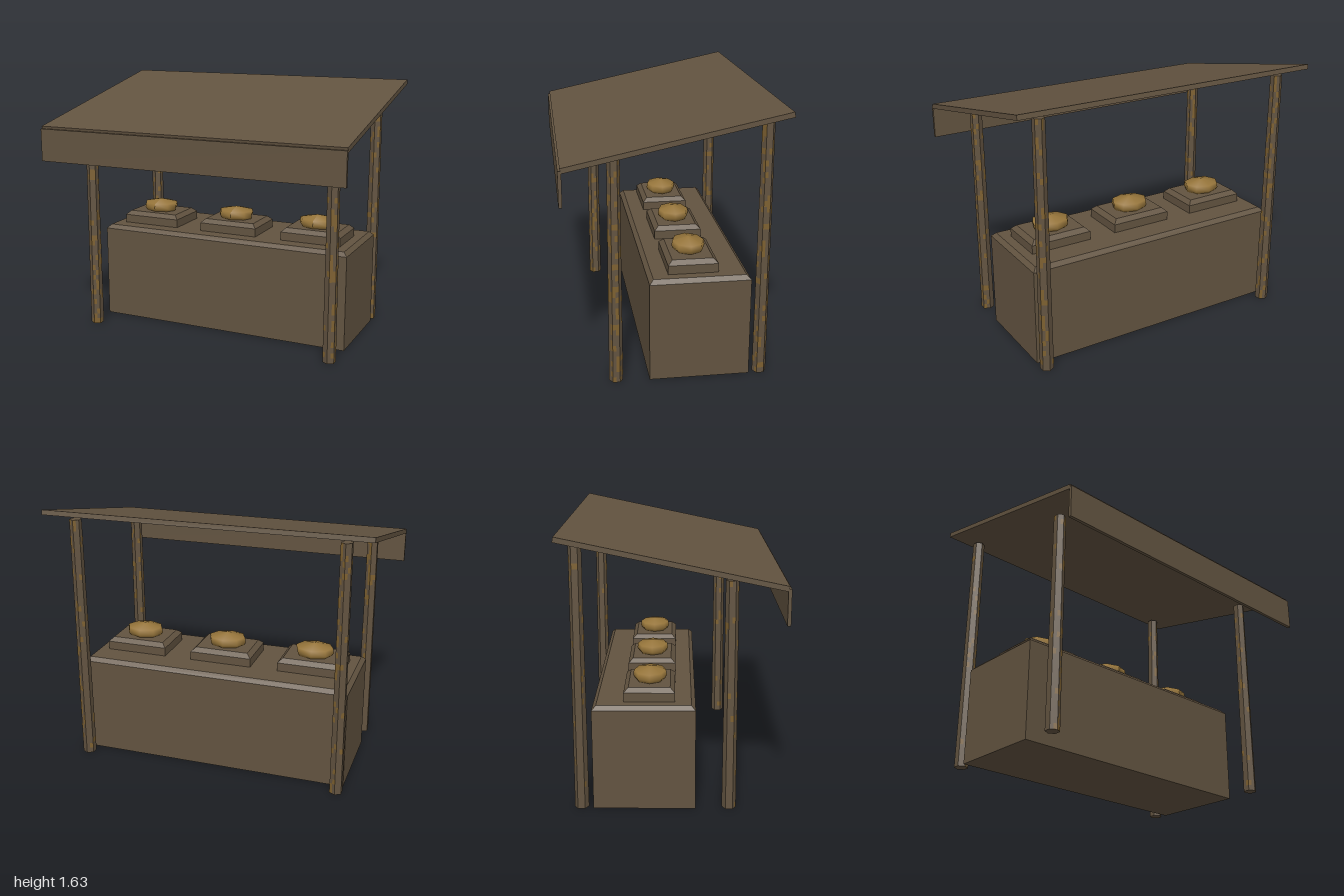
import * as THREE from 'three';

const wood = new THREE.MeshStandardMaterial({ color: 0x625340, flatShading: true });
wood.name = 'brown wood';
const patch = new THREE.MeshStandardMaterial({ color: 0x7d6030, flatShading: true });
patch.name = 'ochre patches';
const crust = new THREE.MeshStandardMaterial({ color: 0x95743a });
crust.name = 'golden crust';

function mesh(name, geometry, material, x, y, z) {
  const m = new THREE.Mesh(geometry, material);
  m.name = name;
  m.position.set(x, y, z);
  return m;
}

// Block standing on y = 0 with a chamfer round its top edge
function chamferedBlock(w, h, d, inset, drop) {
  const g = new THREE.BoxGeometry(w, h, d, 1, 2, 1);
  const p = g.attributes.position;
  for (let i = 0; i < p.count; i++) {
    const y = p.getY(i);
    if (y > h / 4) {
      p.setX(i, p.getX(i) - Math.sign(p.getX(i)) * inset);
      p.setZ(i, p.getZ(i) - Math.sign(p.getZ(i)) * inset);
    } else if (y > -h / 4) p.setY(i, h / 2 - drop);
  }
  g.translate(0, h / 2, 0);
  g.computeVertexNormals();
  return g;
}

// Tapered hexagonal post, each half face cut into cells that are wood or patch
function postGeometry(height, seed) {
  const rows = Math.round(height / 0.034), sides = 12;
  const g = new THREE.CylinderGeometry(0.037, 0.042, height, sides, rows);
  const p = g.attributes.position;
  for (let i = 0; i < p.count; i++) {
    const a = Math.atan2(p.getX(i), p.getZ(i));
    const odd = Math.abs(Math.round(a / (Math.PI / 6))) % 2;
    const k = odd ? Math.cos(Math.PI / 6) : 1;
    p.setX(i, p.getX(i) * k);
    p.setZ(i, p.getZ(i) * k);
  }
  g.translate(0, height / 2, 0);
  let s = seed;
  const random = () => (s = (s * 16807) % 2147483647) / 2147483647;
  g.clearGroups();
  let index = 0;
  for (let c = 0; c < sides; c++) {
    // The +x sides carry most of the patches
    const chance = Math.sin(((c + 0.5) / sides) * Math.PI * 2) > 0 ? 0.27 : 0.07;
    for (let r = 0; r < rows; r++, index += 6) g.addGroup(index, 6, random() < chance ? 1 : 0);
  }
  g.addGroup(index, g.index.count - index, 0);
  return g;
}

// Squat eight-sided loaf with one pinched end
function loafGeometry() {
  const profile = [[0, 0], [0.86, 0], [1, 0.022], [0.95, 0.055], [0, 0.08]];
  const g = new THREE.LatheGeometry(profile.map(([r, y]) => new THREE.Vector2(r, y)), 8);
  g.scale(0.125, 1, 0.101);
  const p = g.attributes.position;
  for (let i = 0; i < p.count; i++) {
    if (p.getX(i) > 0.11 && p.getY(i) < 0.05) p.setX(i, 0.107);
  }
  g.computeVertexNormals();
  return g;
}

export function createModel() {
  const stall = new THREE.Group();
  stall.name = 'marketStall';

  // Sloping roof and front valance
  const roof = mesh('roof', new THREE.BoxGeometry(2, 0.03, 1.286), wood, 0, 1.488, -0.007);
  roof.rotation.x = 0.207;
  stall.add(roof);
  stall.add(mesh('valance', new THREE.BoxGeometry(2, 0.205, 0.02), wood, 0, 1.2525, 0.627));

  // Four posts, the back pair taller
  [-1, 1].forEach((side, i) => {
    stall.add(mesh('frontPost', postGeometry(1.37, 1234567 + i * 765431), [wood, patch], side * 0.83, 0, 0.328));
    stall.add(mesh('backPost', postGeometry(1.57, 7654321 + i * 345677), [wood, patch], side * 0.83, 0, -0.54));
  });

  // Counter with three trays, a loaf on each
  stall.add(mesh('counter', chamferedBlock(1.72, 0.635, 0.6, 0.025, 0.025), wood, 0, 0, -0.17));
  for (const x of [-0.577, 0, 0.577]) {
    stall.add(mesh('tray', chamferedBlock(0.4, 0.085, 0.3, 0.028, 0.026), wood, x, 0.63, -0.14));
    stall.add(mesh('loaf', loafGeometry(), crust, x, 0.714, -0.14));
  }
  return stall;
}
